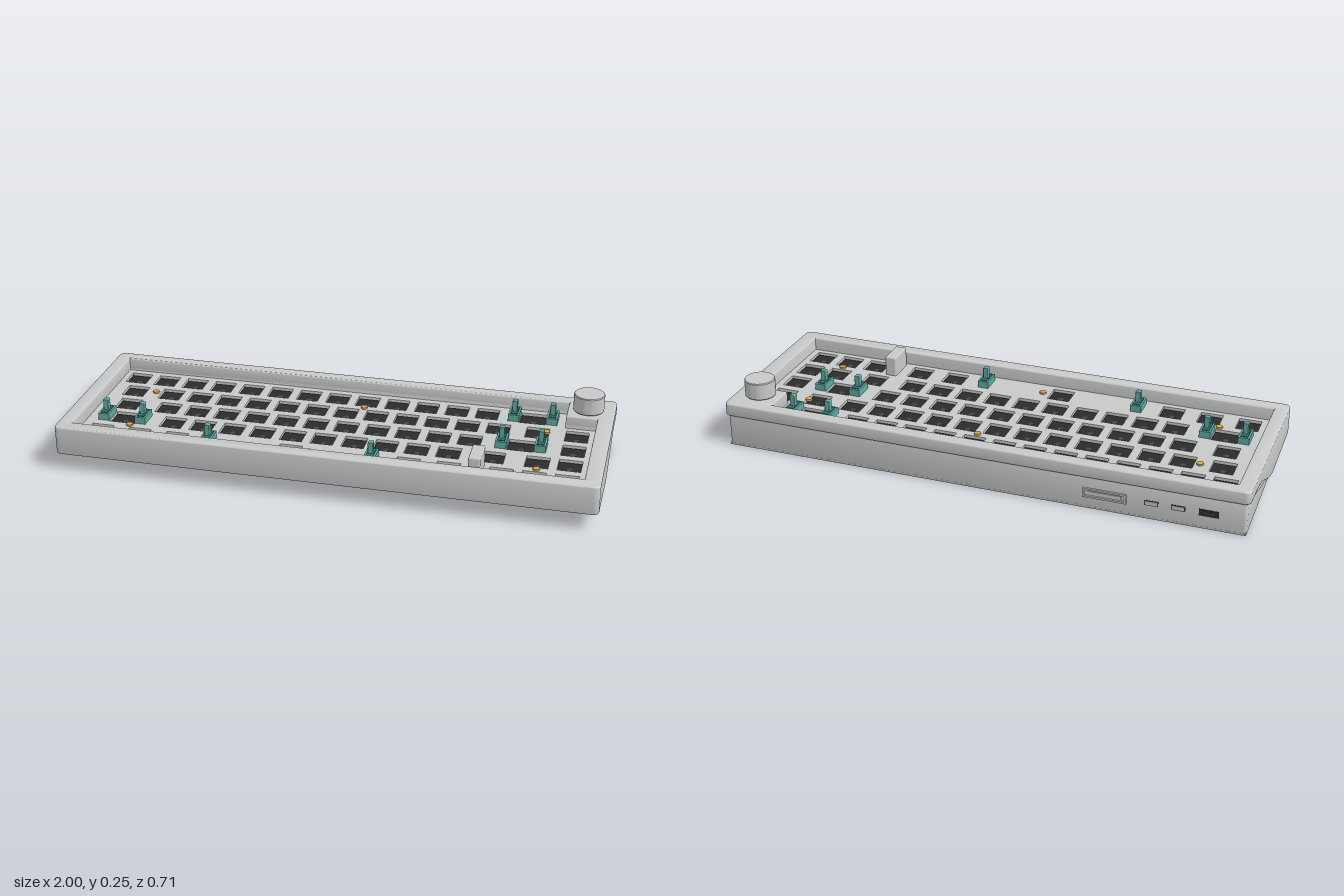
import * as THREE from 'three';
import { toCreasedNormals } from 'three/addons/utils/BufferGeometryUtils.js';
import { RoundedBoxGeometry } from 'three/addons/geometries/RoundedBoxGeometry.js';

const material = (name, color) => {
  const m = new THREE.MeshStandardMaterial({ color });
  m.name = name;
  return m;
};

// Sloping underside, and the seam where upper and lower case meet
const SLOPE = 0.065 / 0.7;
const floorY = z => SLOPE * (z + 0.345);
const seamY = z => {
  if (z >= 0.07) return floorY(z);
  const t = Math.min(1, (0.07 - z) / 0.3);
  const s = t * t * (3 - 2 * t);
  return floorY(0.07) * (1 - s) + 0.125 * s;
};

const U = 0.117; // key pitch
const KEY_X = -0.882;

const range = (start, n) => Array.from({ length: n }, (_, i) => start + i);
// Key centres in each row, in key pitches; stabilised keys give the stabiliser reach
const ROWS = [
  { z: -0.235, keys: range(0, 13), wide: [[13.5, 0.072]] },
  { z: -0.118, keys: [0.25, ...range(1.5, 12), 13.75, 15], wide: [] },
  { z: 0, keys: [0.375, ...range(1.75, 11), 15], wide: [[13.375, 0.072]] },
  { z: 0.117, keys: [...range(2.25, 10), 12.625, 14, 15], wide: [[0.625, 0.072]] },
  { z: 0.235, keys: [0.125, 1.375, 2.625, 10.125, 11.375, 13, 14, 15], wide: [[6.375, 0.307]] },
];

// Rounded rectangle in plan, with the straight sides subdivided so they can follow the seam
function outline(hx, hz, r) {
  const pts = [];
  [[1, 1], [-1, 1], [-1, -1], [1, -1]].forEach(([sx, sy], q) => {
    for (let i = 0; i <= 5; i++) {
      const a = (q + i / 5) * Math.PI / 2;
      pts.push(new THREE.Vector2(sx * (hx - r) + r * Math.cos(a), sy * (hz - r) + r * Math.sin(a)));
    }
    if (q % 2 === 1) {
      const from = sy * (hz - r);
      for (let i = 1; i < 28; i++) pts.push(new THREE.Vector2(sx * hx, from * (1 - 2 * i / 28)));
    }
  });
  return pts;
}

// Plan of the tray opening, with a notch for the knob corner
const trayPoints = () => [
  [-0.946, -0.3], [0.94, -0.3], [0.94, 0.183], [0.823, 0.183], [0.823, 0.305], [-0.946, 0.305],
].map(p => new THREE.Vector2(...p));

const rectPath = (x, y, w, h) => new THREE.Path([
  new THREE.Vector2(x - w / 2, y - h / 2), new THREE.Vector2(x - w / 2, y + h / 2),
  new THREE.Vector2(x + w / 2, y + h / 2), new THREE.Vector2(x + w / 2, y - h / 2),
]);

// Frame around the tray, flat on top and following a height rule underneath
function frameGeometry(hx, hz, r, top, bottomRule, bevel) {
  const shape = new THREE.Shape(outline(hx, hz, r));
  shape.holes.push(new THREE.Path(trayPoints().reverse()));
  const depth = 0.05;
  const g = new THREE.ExtrudeGeometry(shape, {
    depth, bevelThickness: bevel, bevelSize: bevel, bevelOffset: -bevel, bevelSegments: 3,
  });
  g.rotateX(-Math.PI / 2);
  const p = g.attributes.position;
  for (let i = 0; i < p.count; i++) {
    const y = p.getY(i);
    p.setY(i, y < depth / 2 ? bottomRule(p.getZ(i)) + y + bevel : top - (depth + bevel - y));
  }
  return toCreasedNormals(g, 0.6);
}

export function createModel() {
  const model = new THREE.Group();
  model.name = 'keyboard';
  const grey = material('case grey', 0xc8cac9);
  const black = material('socket black', 0x2b2b2b);
  const dark = material('dark grey', 0x444444);
  const teal = material('teal', 0x5fa9a0);
  const deepTeal = material('deep teal', 0x2f746c);
  const gold = material('gold', 0xd4a94a);

  const add = (name, geometry, mat, x = 0, y = 0, z = 0, parent = model) => {
    const m = new THREE.Mesh(geometry, mat);
    m.name = name;
    m.position.set(x, y, z);
    parent.add(m);
    return m;
  };
  const box = (w, h, d) => new THREE.BoxGeometry(w, h, d);

  // Case
  add('upperCase', frameGeometry(1, 0.355, 0.022, 0.175, seamY, 0.006), grey);
  add('lowerCase', frameGeometry(0.99, 0.345, 0.015, 0.14, z => floorY(z) + 0.001, 0.002), grey);

  // Tilted underside with four feet
  const base = new THREE.Group();
  base.name = 'underside';
  base.position.y = floorY(0);
  base.rotation.x = -Math.atan(SLOPE);
  model.add(base);
  add('bottomPlate', box(1.98, 0.008, 0.692), grey, 0, 0.004, 0, base);
  for (const sx of [-1, 1]) {
    for (const z of [0.283, -0.26]) add('foot', box(0.18, 0.006, 0.046), black, sx * 0.83, 0, z, base);
  }

  // Switch plate with a square cutout for every key, over the dark circuit board
  const plate = new THREE.Shape(trayPoints());
  const centreRing = new THREE.CylinderGeometry(0.012, 0.012, 0.004, 16);
  const stabilisers = [];
  for (const row of ROWS) {
    const cut = (k, w) => {
      const x = KEY_X + k * U;
      plate.holes.push(rectPath(x, -row.z, w, 0.085));
      add('socketCentre', centreRing, dark, x, 0.105, row.z);
    };
    row.keys.forEach(k => cut(k, 0.085));
    row.wide.forEach(([k, reach]) => {
      cut(k, reach > 0.2 ? 0.085 : 0.098);
      for (const s of [-1, 1]) stabilisers.push([KEY_X + k * U + s * reach, row.z]);
    });
  }
  const plateGeometry = new THREE.ExtrudeGeometry(plate, { depth: 0.012, bevelEnabled: false });
  plateGeometry.rotateX(-Math.PI / 2);
  add('switchPlate', plateGeometry, grey, 0, 0.112, 0);
  const board = new THREE.ExtrudeGeometry(new THREE.Shape(trayPoints()), { depth: 0.008, bevelEnabled: false });
  board.rotateX(-Math.PI / 2);
  add('circuitBoard', board, black, 0, 0.097, 0);

  // Stabilisers
  for (const [x, z] of stabilisers) {
    const g = new THREE.Group();
    g.name = 'stabiliser';
    g.position.set(x, 0.124, z);
    model.add(g);
    add('housing', box(0.042, 0.026, 0.08), teal, 0, 0.013, 0, g);
    add('housingInset', box(0.028, 0.004, 0.062), deepTeal, 0, 0.027, 0, g);
    add('stem', new RoundedBoxGeometry(0.02, 0.05, 0.024, 2, 0.003), teal, 0, 0.046, 0, g);
  }

  // Plate screws
  const screw = new THREE.CylinderGeometry(0.013, 0.013, 0.008, 16);
  [[-0.77, -0.123], [0.053, -0.176], [0.76, -0.128], [-0.77, 0.176], [-0.064, 0.23], [0.76, 0.176]]
    .forEach(([x, z]) => add('screw', screw, gold, x, 0.127, z));

  // Raised block beside the arrow keys
  add('sideBlock', new RoundedBoxGeometry(0.045, 0.082, 0.11, 3, 0.006), grey, 0.553, 0.16, 0.233);

  // Rotary knob
  const profile = [[0, 0.18], [0.055, 0.18], [0.0575, 0.183], [0.0575, 0.244], [0.055, 0.247], [0, 0.247]];
  const knob = new THREE.LatheGeometry(profile.map(p => new THREE.Vector2(...p)), 48);
  add('knob', toCreasedNormals(knob, 0.6), grey, 0.9, 0, -0.246);
  add('knobShaft', new THREE.CylinderGeometry(0.022, 0.022, 0.016, 24), grey, 0.9, 0.174, -0.246);

  // Rear controls: framed rocker, two small buttons and a socket
  const rim = new THREE.Shape([[-0.08, -0.018], [0.08, -0.018], [0.08, 0.018], [-0.08, 0.018]]
    .map(p => new THREE.Vector2(...p)));
  rim.holes.push(rectPath(0, 0, 0.144, 0.022));
  add('rockerFrame', new THREE.ExtrudeGeometry(rim, { depth: 0.01, bevelEnabled: false }), grey, -0.485, 0.063, -0.352);
  add('rocker', box(0.12, 0.014, 0.006), grey, -0.485, 0.063, -0.346);
  for (const x of [-0.654, -0.75]) {
    add('buttonSlot', box(0.05, 0.02, 0.002), dark, x, 0.063, -0.3455);
    add('button', box(0.042, 0.013, 0.004), grey, x, 0.063, -0.346);
  }
  add('socket', box(0.07, 0.026, 0.002), black, -0.858, 0.063, -0.3455);
  add('socketTongue', box(0.04, 0.006, 0.002), dark, -0.858, 0.063, -0.3465);

  return model;
}
